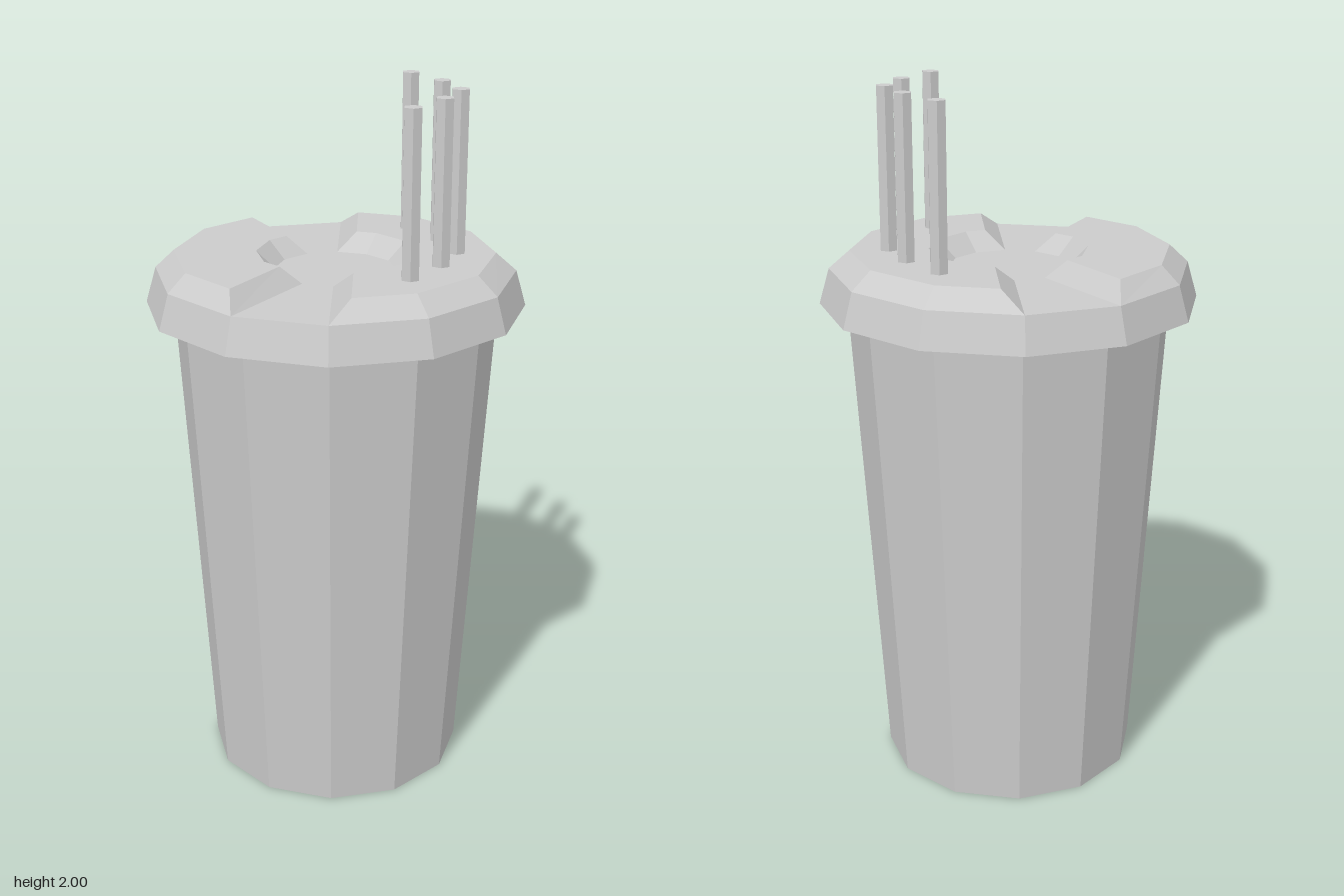
import * as THREE from 'three';

const material = new THREE.MeshStandardMaterial({ color: 0xcccccc, flatShading: true });

const CUP_TOP = 1.4, FLOOR = 1.5, LID_TOP = 1.55, TOP = 2;

function addMesh(group, name, geometry, x = 0, y = 0, z = 0) {
  const mesh = new THREE.Mesh(geometry, material);
  mesh.name = name;
  mesh.position.set(x, y, z);
  group.add(mesh);
}

// Mirrors a half outline of [x, z] points across z = 0, counter-clockwise from above
function closedOutline(half) {
  const mirrored = half.slice(1, -1).reverse().map(([x, z]) => [x, -z]);
  const loop = [...half, ...mirrored].map(([x, z]) => new THREE.Vector2(x, -z));
  return THREE.ShapeUtils.isClockWise(loop) ? loop.reverse() : loop;
}

// Raised pad with bevelled walls between a lower and an upper outline
function padGeometry(lowerHalf, upperHalf) {
  const lower = closedOutline(lowerHalf), upper = closedOutline(upperHalf);
  const positions = [];
  const put = (p, y) => positions.push(p.x, y, -p.y);
  lower.forEach((a, i) => {
    const j = (i + 1) % lower.length;
    const b = lower[j], c = upper[j], d = upper[i];
    put(a, FLOOR); put(b, FLOOR); put(c, LID_TOP);
    put(a, FLOOR); put(c, LID_TOP); put(d, LID_TOP);
  });
  for (const face of THREE.ShapeUtils.triangulateShape(upper, [])) {
    face.forEach((k) => put(upper[k], LID_TOP));
  }
  const geometry = new THREE.BufferGeometry();
  geometry.setAttribute('position', new THREE.Float32BufferAttribute(positions, 3));
  geometry.computeVertexNormals();
  return geometry;
}

export function createModel() {
  const model = new THREE.Group();
  model.name = 'cup';

  // Tapered twelve-sided cup
  addMesh(model, 'cupBody', new THREE.CylinderGeometry(0.455, 0.37, CUP_TOP, 12), 0, CUP_TOP / 2);

  // Lid rim, whose top is the sunken floor of the lid
  addMesh(model, 'lidRim', new THREE.CylinderGeometry(0.503, 0.532, FLOOR - CUP_TOP, 12),
    0, (CUP_TOP + FLOOR) / 2);

  // Large raised pad on the left, under the rods
  addMesh(model, 'leftLidPad', padGeometry(
    [[0.503, 0], [0.436, 0.2515], [0.2515, 0.436], [0, 0.503],
      [0, 0.17], [0.085, 0.147], [0.147, 0.085], [0.17, 0]],
    [[0.445, 0], [0.385, 0.222], [0.222, 0.385], [0.055, 0.43],
      [0.055, 0.21], [0.112, 0.195], [0.195, 0.112], [0.225, 0]]));

  // Small raised pad on the right
  addMesh(model, 'rightLidPad', padGeometry(
    [[-0.503, 0], [-0.436, 0.2515], [-0.2515, 0.436],
      [-0.085, 0.147], [-0.147, 0.085], [-0.17, 0]],
    [[-0.45, 0], [-0.39, 0.225], [-0.26, 0.36],
      [-0.145, 0.155], [-0.19, 0.11], [-0.22, 0]]));

  // Five hexagonal rods in an arc
  const rod = new THREE.CylinderGeometry(0.026, 0.026, TOP - FLOOR, 6);
  [[0.205, -0.262], [0.289, -0.131], [0.335, 0], [0.289, 0.131], [0.205, 0.262]].forEach(
    ([x, z], i) => addMesh(model, `rod${i + 1}`, rod, x, (FLOOR + TOP) / 2, z));

  return model;
}
